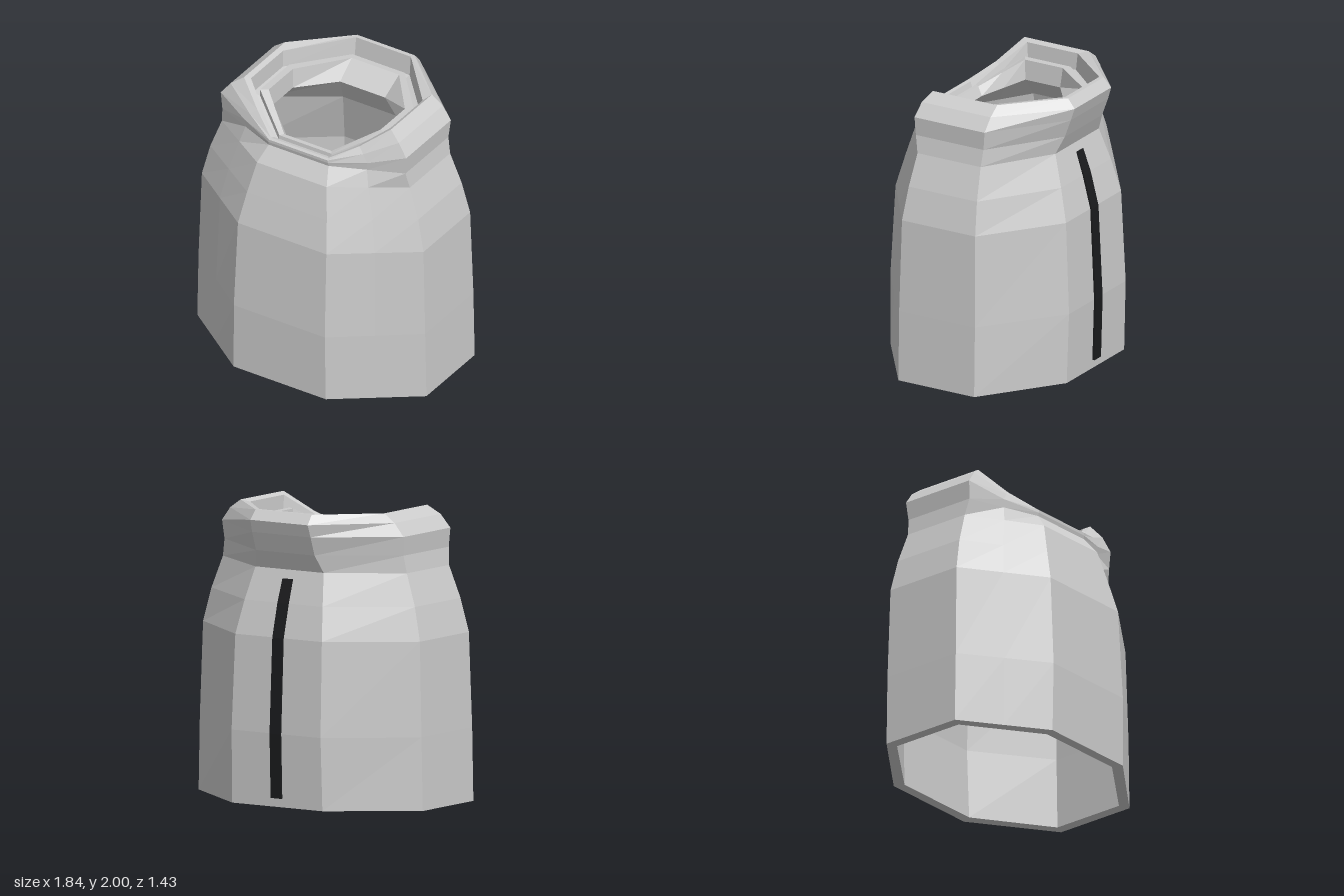
import * as THREE from 'three';

// One eight-sided ring with an extra point on each front diagonal.
// sx: side x, cx: corner x, zf/zb: front and back z, sf/sb: side corner z,
// yf/ys/yb: heights at front, sides and back, dip: drop of the diagonal point.
function ring([sx, cx, zf, zb, sf, sb, yf, ys, yb], dip = 0) {
  const mid = [(sx + cx) / 2, (ys + yf) / 2 - dip, (sf + zf) / 2];
  const half = [[cx, yb, zb], [sx, ys, sb], [sx, ys, sf], mid, [cx, yf, zf]];
  return [...half, ...half.slice().reverse().map(([x, y, z]) => [-x, y, z])];
}

// Flat-sided skin through a sequence of rings
function skin(rings) {
  const n = rings[0].length;
  const pos = [];
  for (let r = 0; r < rings.length - 1; r++) {
    for (let i = 0; i < n; i++) {
      const j = (i + 1) % n;
      const a = rings[r][i], b = rings[r][j], c = rings[r + 1][j], d = rings[r + 1][i];
      pos.push(...a, ...d, ...b, ...b, ...d, ...c);
    }
  }
  const geo = new THREE.BufferGeometry();
  geo.setAttribute('position', new THREE.Float32BufferAttribute(pos, 3));
  geo.computeVertexNormals();
  return geo;
}

export function createModel() {
  const group = new THREE.Group();
  const grey = new THREE.MeshStandardMaterial({ color: 0xcccccc, flatShading: true });
  const black = new THREE.MeshStandardMaterial({ color: 0x1a1b1d, flatShading: true });
  const add = (name, geo, mat) => {
    const mesh = new THREE.Mesh(geo, mat);
    mesh.name = name;
    group.add(mesh);
  };
  const level = (y, ...p) => ring([...p, y, y, y]);

  // Outer body, bottom to shoulder
  const body = [
    level(0, 0.92, 0.37, 0.71, -0.685, 0.31, -0.29),
    level(0.5, 0.91, 0.365, 0.715, -0.7, 0.31, -0.29),
    level(1.15, 0.89, 0.355, 0.68, -0.67, 0.3, -0.28),
    level(1.38, 0.835, 0.32, 0.62, -0.61, 0.28, -0.26),
    level(1.6, 0.755, 0.28, 0.56, -0.54, 0.26, -0.24),
  ];

  // Collar, high at the back and sides and low at the front, then its inner channel
  const collar = [
    [0.735, 0.24, 0.475, -0.59, 0.285, -0.25, 1.71, 1.72, 1.72],
    [0.745, 0.24, 0.48, -0.638, 0.29, -0.265, 1.735, 1.85, 1.85],
    [0.675, 0.235, 0.48, -0.665, 0.275, -0.27, 1.755, 1.94, 1.935],
    [0.59, 0.23, 0.465, -0.61, 0.24, -0.27, 1.765, 2, 2],
    [0.56, 0.22, 0.44, -0.58, 0.2, -0.2, 1.76, 1.98, 2],
    [0.555, 0.22, 0.425, -0.565, 0.19, -0.19, 1.72, 1.86, 1.86],
  ].map((p, i) => ring(p, i > 0 && i < 5 ? 0.02 : 0));

  // Inner neck ring, sloping down to the opening
  const neck = [
    [0.5, 0.21, 0.395, -0.52, 0.18, -0.18, 1.715, 1.85, 1.85],
    [0.5, 0.21, 0.39, -0.52, 0.18, -0.18, 1.75, 1.9, 1.9],
    [0.45, 0.19, 0.36, -0.48, 0.15, -0.15, 1.75, 1.9, 1.9],
    [0.44, 0.18, 0.325, -0.32, 0.14, -0.135, 1.69, 1.76, 1.8],
  ].map((p) => ring(p));

  // Hollow inside, from the opening back to the bottom rim
  const inside = [
    level(1.56, 0.69, 0.26, 0.5, -0.48, 0.23, -0.21),
    level(1.15, 0.815, 0.325, 0.61, -0.6, 0.27, -0.25),
    level(0.5, 0.835, 0.335, 0.645, -0.63, 0.28, -0.26),
    level(0, 0.845, 0.34, 0.64, -0.615, 0.28, -0.26),
  ];

  const last = (list) => list[list.length - 1];
  add('outerBody', skin(body), grey);
  add('collar', skin([last(body), ...collar]), grey);
  add('neckRing', skin([last(collar), ...neck]), grey);
  add('innerWall', skin([last(neck), ...inside]), grey);
  add('bottomRim', skin([last(inside), body[0]]), grey);

  // Dark strip down the back, extruded from its side profile
  const path = [[0.06, 0.675], [0.5, 0.688], [1.15, 0.655], [1.38, 0.595], [1.54, 0.535]];
  const profile = [
    ...path.map(([y, z]) => new THREE.Vector2(z, y)),
    ...path.slice().reverse().map(([y, z]) => new THREE.Vector2(z + 0.028, y)),
  ];
  const strip = new THREE.ExtrudeGeometry(new THREE.Shape(profile), { depth: 0.085, bevelEnabled: false });
  strip.translate(0, 0, -0.0425).rotateY(Math.PI / 2);
  add('backStrip', strip, black);

  return group;
}
